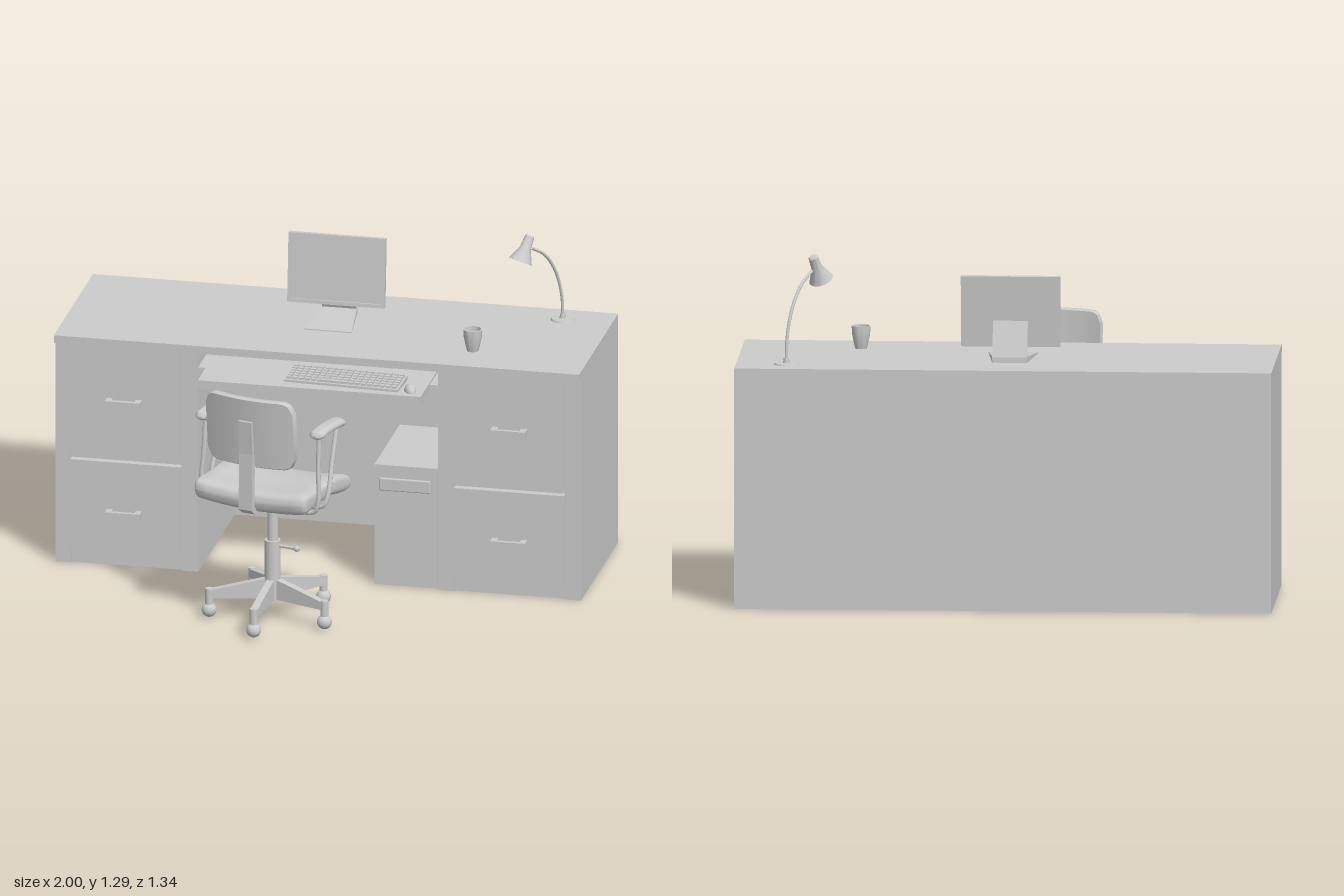
import * as THREE from 'three';
import { mergeGeometries, toCreasedNormals } from 'three/addons/utils/BufferGeometryUtils.js';
import { RoundedBoxGeometry } from 'three/addons/geometries/RoundedBoxGeometry.js';

const mat = new THREE.MeshStandardMaterial({ color: 0xcccccc });
const thin = new THREE.MeshStandardMaterial({ color: 0xcccccc, side: THREE.DoubleSide });
const V = (x, y, z) => new THREE.Vector3(x, y, z);

function add(parent, name, geo, pos = [0, 0, 0], rot = [0, 0, 0], material = mat) {
  const m = new THREE.Mesh(geo, material);
  m.name = name;
  m.position.set(...pos);
  m.rotation.set(...rot);
  parent.add(m);
  return m;
}

function group(parent, name) {
  const g = new THREE.Group();
  g.name = name;
  parent.add(g);
  return g;
}

// Box given by its minimum and maximum on each axis
function box(parent, name, x0, x1, y0, y1, z0, z1) {
  return add(parent, name, new THREE.BoxGeometry(x1 - x0, y1 - y0, z1 - z0),
    [(x0 + x1) / 2, (y0 + y1) / 2, (z0 + z1) / 2]);
}

const cyl = (parent, name, rTop, rBot, y0, y1, x = 0, z = 0) =>
  add(parent, name, new THREE.CylinderGeometry(rTop, rBot, y1 - y0, 24), [x, (y0 + y1) / 2, z]);

const tube = (parent, name, pts, r) =>
  add(parent, name, new THREE.TubeGeometry(new THREE.CatmullRomCurve3(pts.map(p => V(...p))), 32, r, 10));

// Side profile given as [z, y] pairs, extruded across x and centred on x = 0
function sideExtrude(points, width, bevel = 0, steps = 1, smooth = false) {
  const pts = points.map(([z, y]) => new THREE.Vector2(-z, y));
  const shape = smooth
    ? new THREE.Shape(new THREE.SplineCurve([...pts, pts[0]]).getPoints(48).slice(0, -1))
    : new THREE.Shape(pts);
  const geo = new THREE.ExtrudeGeometry(shape, {
    depth: width - 2 * bevel, steps, bevelEnabled: bevel > 0,
    bevelSize: bevel, bevelThickness: bevel, bevelOffset: -bevel, bevelSegments: 4,
  });
  geo.translate(0, 0, bevel - width / 2);
  return geo.rotateY(Math.PI / 2);
}

// Move every vertex by a rule
function bend(geo, rule) {
  const p = geo.attributes.position, v = V(0, 0, 0);
  for (let i = 0; i < p.count; i++) {
    rule(v.fromBufferAttribute(p, i));
    p.setXYZ(i, v.x, v.y, v.z);
  }
  return toCreasedNormals(geo, 0.7);
}

function buildDesk(root) {
  const desk = group(root, 'desk');
  box(desk, 'desktop', -1, 1, 0.875, 0.905, -0.67, 0.01);
  box(desk, 'backPanel', -1, 1, 0, 0.875, -0.67, -0.655);
  for (const s of [-1, 1]) {
    // Hollow pedestal, open at the bottom
    const ped = group(desk, s < 0 ? 'rightPedestal' : 'leftPedestal');
    const slab = (name, a, b, ...rest) => box(ped, name, Math.min(s * a, s * b), Math.max(s * a, s * b), ...rest);
    slab('outerSide', 0.985, 1, 0, 0.875, -0.655, -0.02);
    slab('innerSide', 0.457, 0.472, 0, 0.875, -0.655, -0.02);
    slab('outerStile', 0.94, 0.985, 0, 0.875, -0.06, -0.02);
    slab('innerStile', 0.472, 0.52, 0, 0.875, -0.06, -0.02);
    slab('baseRail', 0.52, 0.94, 0, 0.07, -0.06, -0.03);
    slab('middleRail', 0.52, 0.94, 0.41, 0.46, -0.06, -0.03);
    for (const [y0, y1, h] of [[0.07, 0.415, 0.205], [0.455, 0.872, 0.645]]) {
      slab('drawerFront', 0.52, 0.94, y0, y1, -0.05, -0.002);
      slab('handleBar', 0.667, 0.8, h, h + 0.025, 0.022, 0.038);
      slab('handlePost', 0.667, 0.69, h, h + 0.025, -0.005, 0.025);
      slab('handlePost', 0.777, 0.8, h, h + 0.025, -0.005, 0.025);
    }
    slab('trayRail', 0.425, 0.457, 0.78, 0.81, -0.5, -0.02);
  }
  box(desk, 'keyboardTray', -0.428, 0.42, 0.777, 0.81, -0.36, 0.117);

  // Computer under the desk
  const tower = group(root, 'computerTower');
  box(tower, 'case', 0.212, 0.45, 0.002, 0.475, -0.47, -0.03);
  add(tower, 'discSlot', new RoundedBoxGeometry(0.195, 0.05, 0.012, 3, 0.005), [0.328, 0.4, -0.029]);
}

function buildKeyboard(root) {
  const kb = group(root, 'keyboard');
  kb.position.set(0.11, 0.81, 0.005);
  kb.rotation.y = -0.055;
  add(kb, 'keyboardBase', sideExtrude([[0.07, 0], [0.07, 0.009], [-0.07, 0.02], [-0.07, 0]], 0.44));
  const keys = [];
  for (let r = 0; r < 6; r++) {
    for (let c = 0; c < 18; c++) {
      if (r === 5 && c > 4 && c < 10) continue;
      const z = -0.054 + r * 0.0215;
      keys.push(new THREE.BoxGeometry(0.018, 0.012, 0.016)
        .translate(-0.204 + c * 0.024, 0.0165 - z * 0.08, z));
    }
  }
  keys.push(new THREE.BoxGeometry(0.115, 0.012, 0.016).translate(-0.036, 0.0125, 0.0535));
  add(kb, 'keys', mergeGeometries(keys));
  const mouse = add(root, 'mouse', new THREE.SphereGeometry(1, 20, 8, 0, Math.PI * 2, 0, Math.PI / 2),
    [0.368, 0.81, 0.06], [0, 0.4, 0]);
  mouse.scale.set(0.022, 0.025, 0.036);
}

function buildMonitor(root) {
  const mon = group(root, 'monitor');
  mon.position.set(-0.015, 0, 0);
  const panel = group(mon, 'screenPanel');
  panel.position.set(0, 1.09, -0.415);
  panel.rotation.x = -0.085;
  box(panel, 'screen', -0.175, 0.175, -0.125, 0.125, -0.01, 0.003);
  box(panel, 'topBezel', -0.185, 0.185, 0.12, 0.134, -0.01, 0.01);
  box(panel, 'bottomBezel', -0.185, 0.185, -0.134, -0.12, -0.01, 0.01);
  for (const s of [-1, 1]) add(panel, 'sideBezel', new THREE.BoxGeometry(0.01, 0.24, 0.02), [s * 0.18, 0, 0]);
  // Foot widens to the front, the leg leans forward to the panel
  const foot = sideExtrude([[-0.25, 0.905], [-0.25, 0.909], [-0.475, 0.928], [-0.478, 0.905]], 0.13);
  add(mon, 'standFoot', bend(foot, v => { v.x *= 1 + (v.z + 0.478) * 1.8; }));
  add(mon, 'standLeg', sideExtrude(
    [[-0.478, 0.905], [-0.455, 0.925], [-0.422, 1.0], [-0.424, 1.055], [-0.43, 1.055], [-0.478, 0.925]], 0.13));
}

function buildDeskItems(root) {
  // Cup with an open inside
  const cup = [[0, 0], [0.022, 0], [0.028, 0.025], [0.034, 0.055], [0.035, 0.085], [0.03, 0.085], [0.029, 0.055], [0.02, 0.012], [0, 0.012]];
  add(root, 'cup', toCreasedNormals(new THREE.LatheGeometry(cup.map(p => new THREE.Vector2(...p)), 32), 0.7),
    [0.557, 0.905, -0.165], [0, 0, 0], thin);

  const lamp = group(root, 'deskLamp');
  cyl(lamp, 'lampBase', 0.043, 0.046, 0.905, 0.912, 0.812, -0.565);
  cyl(lamp, 'lampSocket', 0.01, 0.012, 0.912, 0.93, 0.812, -0.565);
  tube(lamp, 'lampArm', [[0.812, 0.92, -0.565], [0.81, 1.0, -0.557], [0.795, 1.1, -0.53],
    [0.765, 1.185, -0.48], [0.725, 1.235, -0.415]], 0.006);
  const shade = [[0, 0.105], [0.014, 0.105], [0.018, 0.1], [0.021, 0.055], [0.046, 0], [0.042, 0], [0.018, 0.052], [0, 0.06]];
  const head = add(lamp, 'lampShade', toCreasedNormals(
    new THREE.LatheGeometry(shade.map(p => new THREE.Vector2(...p)), 28), 0.6), [0.694, 1.195, -0.365], [0, 0, 0], thin);
  head.quaternion.setFromUnitVectors(V(0, 1, 0), V(0.028, 0.09, -0.04).normalize());
}

function buildChair(root) {
  const chair = group(root, 'chair');
  chair.position.set(-0.08, 0, 0.405);

  // Five-star base with ball casters
  for (let i = 0; i < 5; i++) {
    const leg = group(chair, 'baseLeg');
    leg.rotation.y = (i * 72 - 5) * Math.PI / 180;
    add(leg, 'legArm', sideExtrude([[0, 0.08], [0.24, 0.083], [0.24, 0.112], [0.03, 0.158], [0, 0.158]], 0.028));
    cyl(leg, 'casterStem', 0.015, 0.015, 0.05, 0.118, 0, 0.236);
    add(leg, 'casterBall', new THREE.SphereGeometry(0.028, 20, 14), [0, 0.034, 0.236]);
  }
  cyl(chair, 'hub', 0.031, 0.031, 0.078, 0.16);
  cyl(chair, 'lowerColumn', 0.03, 0.03, 0.16, 0.31);
  cyl(chair, 'upperColumn', 0.02, 0.02, 0.31, 0.46);
  cyl(chair, 'columnCollar', 0.031, 0.031, 0.455, 0.5);

  const top = group(chair, 'chairTop');
  top.rotation.y = -0.25;
  add(top, 'heightLever', new THREE.CylinderGeometry(0.006, 0.006, 0.08, 10), [0.06, 0.29, 0], [0, 0, Math.PI / 2]);
  add(top, 'leverKnob', new THREE.SphereGeometry(0.012, 14, 10), [0.1, 0.29, 0]);

  // Dished seat that rolls down at the front
  const seat = sideExtrude([[0.2, 0.525], [0.18, 0.558], [0.08, 0.558], [-0.03, 0.56], [-0.12, 0.548], [-0.18, 0.528],
    [-0.203, 0.5], [-0.185, 0.472], [-0.12, 0.475], [-0.03, 0.492], [0.08, 0.49], [0.18, 0.485]], 0.465, 0.022, 12, true);
  add(top, 'seat', bend(seat, v => { v.y += 0.32 * v.x * v.x; }));

  // Curved backrest on a bent bar
  const r = 0.045, w = 0.18, h = 0.138;
  const outline = new THREE.Shape();
  for (const [i, [sx, sy]] of [[1, 1], [-1, 1], [-1, -1], [1, -1]].entries()) {
    outline.absarc(sx * (w - r), sy * (h - r), r, i * Math.PI / 2, (i + 1) * Math.PI / 2);
    // Extra points along the long edges let the panel curve
    const [ex, ey] = [[-1, 1], [-1, -1], [1, -1], [1, 1]][i];
    if (i % 2 === 0) for (let k = 1; k < 8; k++) outline.lineTo(sx * (w - r) * (1 - k / 4), sy * h);
    else outline.lineTo(ex * w, ey * (h - r));
  }
  // Stacked slices across the width keep the curve even
  const slices = 24, N = 10, pos = [], idx = [];
  for (let i = 0; i <= slices; i++) {
    const x = -w + 2 * w * i / slices;
    const over = Math.max(0, Math.abs(x) - (w - r));
    const hh = h - r + Math.sqrt(Math.max(0, r * r - over * over));
    for (let j = 0; j < N; j++) {
      const [a, b] = [[-1, -0.6], [-0.97, -1], [0, -1], [0.97, -1], [1, -0.6], [1, 0.6], [0.97, 1], [0, 1], [-0.97, 1], [-1, 0.6]][j];
      const y = a * hh;
      pos.push(x, y, b * 0.016 - 0.9 * x * x + y * 0.1);
      if (i < slices) {
        const p = i * N + j, q = i * N + (j + 1) % N;
        idx.push(p, p + N, q, q, p + N, q + N);
      }
    }
  }
  for (let j = 1; j < N - 1; j++) idx.push(0, j, j + 1, slices * N, slices * N + j + 1, slices * N + j);
  const back = new THREE.BufferGeometry();
  back.setAttribute('position', new THREE.Float32BufferAttribute(pos, 3));
  back.setIndex(idx);
  add(top, 'backrest', toCreasedNormals(back, 0.7), [0, 0.802, 0.2], [0, 0, 0], thin);
  add(top, 'backBar', sideExtrude([[-0.03, 0.475], [0.2, 0.478], [0.228, 0.5], [0.222, 0.72], [0.232, 0.85],
    [0.212, 0.85], [0.2, 0.72], [0.206, 0.51], [0.19, 0.497], [-0.03, 0.497]], 0.055));

  // Armrests on bent rods
  for (const s of [-1, 1]) {
    const arm = group(top, s < 0 ? 'rightArm' : 'leftArm');
    const pad = new THREE.CapsuleGeometry(0.031, 0.16, 8, 20, 10).rotateX(Math.PI / 2);
    bend(pad, () => {});
    add(arm, 'armPad', bend(pad, v => { v.y = v.y * 0.58 - 0.7 * v.z * v.z + 0.03 * v.z; }),
      [s * 0.238, 0.8, 0.018]);
    tube(arm, 'frontRod', [[s * 0.236, 0.79, -0.065], [s * 0.238, 0.66, -0.02], [s * 0.242, 0.53, 0.025],
      [s * 0.225, 0.49, 0.035], [s * 0.1, 0.485, 0.035]], 0.009);
    tube(arm, 'rearRod', [[s * 0.236, 0.79, 0.085], [s * 0.238, 0.66, 0.095], [s * 0.242, 0.53, 0.105],
      [s * 0.225, 0.49, 0.105], [s * 0.1, 0.485, 0.105]], 0.009);
    box(arm, 'rodPlate', s * 0.236 - 0.012, s * 0.236 + 0.012, 0.775, 0.788, -0.08, 0.1);
  }
}

export function createModel() {
  const root = new THREE.Group();
  root.name = 'deskWithChair';
  buildDesk(root);
  buildKeyboard(root);
  buildMonitor(root);
  buildDeskItems(root);
  buildChair(root);
  return root;
}
